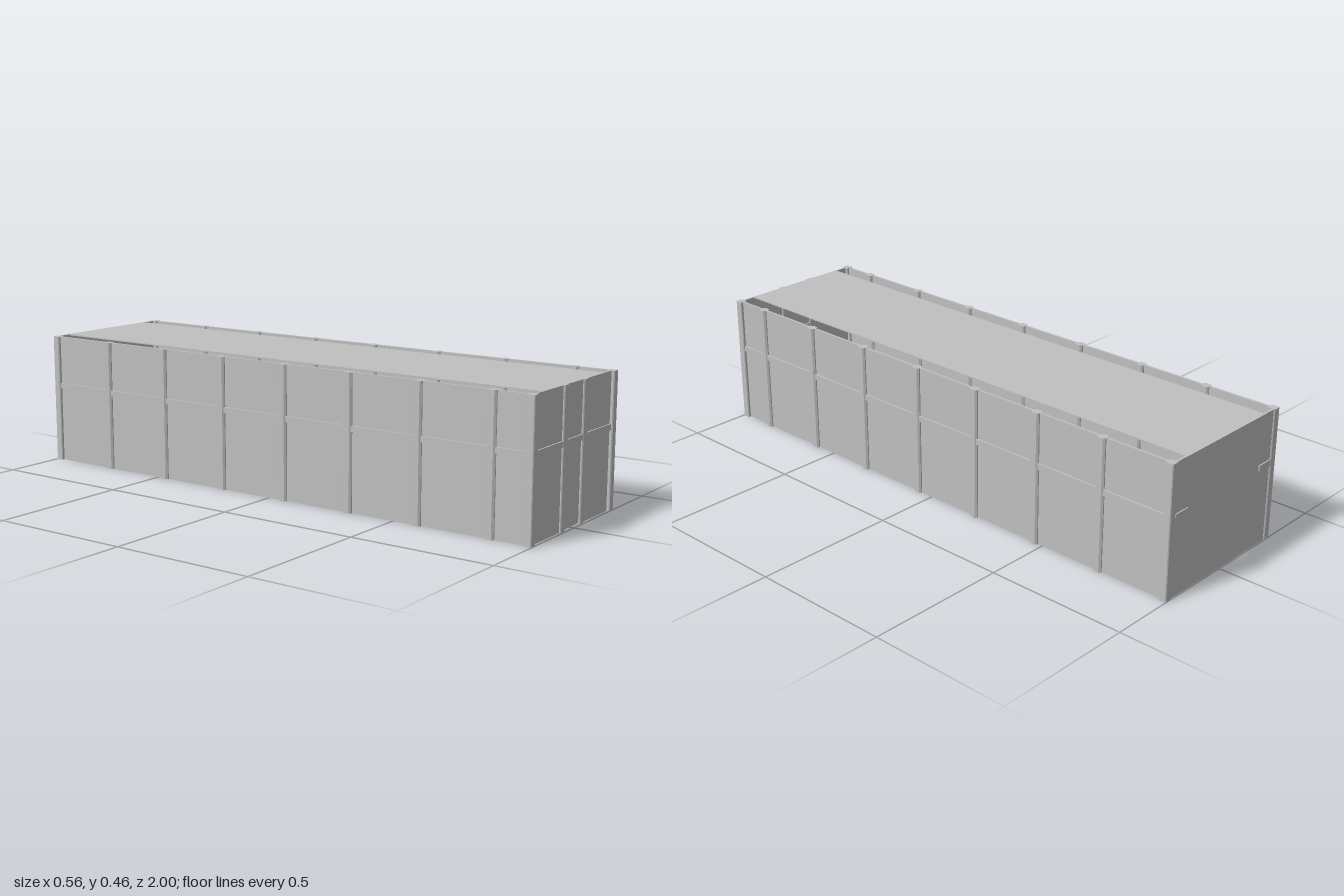
import * as THREE from 'three';

const H = 0.463; // wall height
const RAIL_Y = 0.28, RAIL_H = 0.02;

export function createModel() {
  const model = new THREE.Group();
  model.name = 'container';
  const grey = new THREE.MeshStandardMaterial({ color: 0xc0c0c0 });
  grey.name = 'grey';

  const add = (name, geometry, x, y, z) => {
    const mesh = new THREE.Mesh(geometry, grey);
    mesh.name = name;
    mesh.position.set(x, y, z);
    model.add(mesh);
    return mesh;
  };
  const box = (name, w, h, d, x, y, z) => add(name, new THREE.BoxGeometry(w, h, d), x, y, z);

  // Upright post with chamfered corners, standing on y = 0
  const postGeometry = (w, d, c) => {
    const a = w / 2, b = d / 2;
    const shape = new THREE.Shape([
      [a, -b + c], [a, b - c], [a - c, b], [-a + c, b],
      [-a, b - c], [-a, -b + c], [-a + c, -b], [a - c, -b],
    ].map(([x, y]) => new THREE.Vector2(x, y)));
    const g = new THREE.ExtrudeGeometry(shape, { depth: H, bevelEnabled: false });
    g.rotateX(-Math.PI / 2);
    return g;
  };
  const sidePost = postGeometry(0.028, 0.03, 0.006);
  const cornerPost = postGeometry(0.028, 0.028, 0.003);
  const frontPost = postGeometry(0.027, 0.018, 0.003);

  for (const s of [-1, 1]) {
    // Long side wall with its rail and posts
    box('sidePanel', 0.008, H, 1.95, s * 0.264, H / 2, 0);
    box('sideRail', 0.02, RAIL_H, 1.95, s * 0.264, RAIL_Y, 0);
    for (let i = 0; i < 7; i++) add('sidePost', sidePost, s * 0.264, 0, -0.73 + i * 0.264);
    for (const z of [-0.986, 0.986]) add('cornerPost', cornerPost, s * 0.264, 0, z);

    // Front wall half: panel, rail and door post
    box('frontPanel', 0.175, H, 0.006, s * 0.165, H / 2, 0.986);
    box('frontRail', 0.175, RAIL_H, 0.016, s * 0.165, RAIL_Y, 0.986);
    add('doorPost', frontPost, s * 0.0655, 0, 0.986);

    // Short rail end on the back wall
    box('backRailEnd', 0.062, RAIL_H, 0.02, s * 0.22, RAIL_Y, -0.99);
  }

  // Door bay between the front posts
  box('upperFrontPanel', 0.106, H - 0.29, 0.006, 0, (H + 0.29) / 2, 0.986);
  box('doorRail', 0.106, RAIL_H, 0.016, 0, RAIL_Y, 0.986);
  box('doorLintel', 0.106, 0.013, 0.006, 0, 0.2635, 0.986);
  box('door', 0.104, 0.254, 0.004, 0, 0.13, 0.986);

  // Back wall and roof strip with open slots along both sides
  box('backPanel', 0.504, H, 0.008, 0, H / 2, -0.992);
  box('roof', 0.41, 0.004, 1.985, 0, H - 0.002, -0.0045);

  return model;
}
